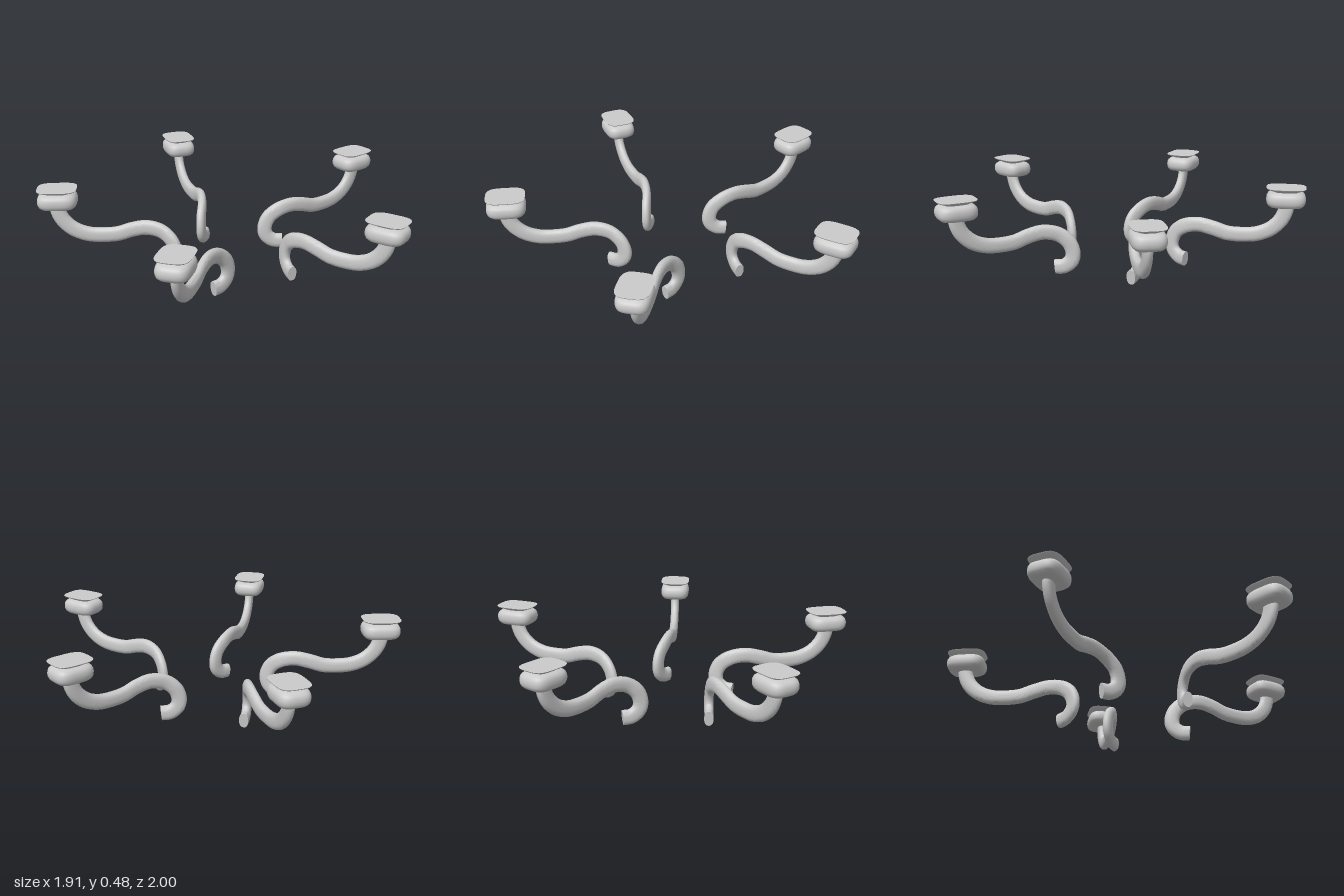
import * as THREE from 'three';
import { toCreasedNormals } from 'three/addons/utils/BufferGeometryUtils.js';

const V = (x, y, z) => new THREE.Vector3(x, y, z);

// Closed rounded outline with half sizes a, b; a higher power is squarer
function outline(a, b, power, count) {
  return Array.from({ length: count }, (_, i) => {
    const t = (i / count) * Math.PI * 2, c = Math.cos(t), s = Math.sin(t);
    const r = (Math.abs(c / a) ** power + Math.abs(s / b) ** power) ** (-1 / power);
    return [r * c, r * s];
  });
}

// Skin a list of rings and cap both ends
function loft(rings, crease) {
  const n = rings[0].length, last = (rings.length - 1) * n;
  const points = rings.flat(), index = [];
  for (let i = 0; i < rings.length - 1; i++) {
    for (let j = 0; j < n; j++) {
      const a = i * n + j, b = i * n + ((j + 1) % n);
      index.push(a, b, a + n, b, b + n, a + n);
    }
  }
  const middle = ring => ring.reduce((sum, p) => sum.add(p), V(0, 0, 0)).divideScalar(n);
  const start = points.push(middle(rings[0])) - 1;
  const end = points.push(middle(rings[rings.length - 1])) - 1;
  for (let j = 0; j < n; j++) {
    const k = (j + 1) % n;
    index.push(start, k, j, end, last + j, last + k);
  }
  const geometry = new THREE.BufferGeometry().setFromPoints(points);
  geometry.setIndex(index);
  return toCreasedNormals(geometry, crease);
}

// Flattened S-shaped arm, its hooked inner end twisting sideways
function armGeometry() {
  const path = new THREE.CatmullRomCurve3([
    V(0.30, 0.047, -0.013), V(0.26, 0.052, -0.042), V(0.226, 0.085, -0.064),
    V(0.218, 0.13, -0.069), V(0.238, 0.19, -0.06), V(0.29, 0.235, -0.035),
    V(0.37, 0.252, -0.014), V(0.45, 0.238, -0.003), V(0.53, 0.214, 0),
    V(0.61, 0.209, 0), V(0.69, 0.216, 0), V(0.765, 0.246, 0),
    V(0.82, 0.298, 0), V(0.846, 0.355, 0), V(0.85, 0.405, 0),
  ]);
  const section = outline(0.042, 0.025, 2.4, 24);
  const rings = [], steps = 90;
  for (let i = 0; i <= steps; i++) {
    const p = path.getPointAt(i / steps), t = path.getTangentAt(i / steps);
    const yaw = 0.58 * (1 - THREE.MathUtils.smoothstep(p.x, 0.27, 0.47));
    const side = V(-Math.sin(yaw), 0, Math.cos(yaw));
    side.addScaledVector(t, -side.dot(t)).normalize();
    const up = side.clone().cross(t);
    rings.push(section.map(([a, b]) => p.clone().addScaledVector(up, a).addScaledVector(side, b)));
  }
  return loft(rings, 0.8);
}

// Rounded-square solid from [scale, height] steps
function cupGeometry(profile) {
  const section = outline(0.087, 0.107, 3.6, 48);
  return loft(profile.map(([s, y]) => section.map(([z, x]) => V(x * s, y, z * s))), 0.75);
}

export function createModel() {
  const model = new THREE.Group();
  model.name = 'fiveArmFitting';
  const material = new THREE.MeshStandardMaterial({ color: 0xcccccc });

  // Bulging cushion below, thin flared plate above
  const cushion = cupGeometry([
    [0.68, 0.378], [0.82, 0.382], [0.93, 0.392], [0.985, 0.405], [1, 0.42],
    [0.985, 0.435], [0.93, 0.448], [0.82, 0.457], [0.6, 0.463],
  ]);
  const plate = cupGeometry([[0.56, 0.455], [0.6, 0.464], [0.78, 0.472], [0.97, 0.48], [1, 0.485]]);
  const arm = armGeometry();

  const centre = -0.088, reach = 0.933;
  for (let i = 0; i < 5; i++) {
    const branch = new THREE.Group();
    branch.name = `branch${i + 1}`;
    branch.position.x = centre;
    branch.rotation.y = (i / 5) * Math.PI * 2;
    const add = (name, geometry, x) => {
      const mesh = new THREE.Mesh(geometry, material);
      mesh.name = name;
      mesh.position.x = x;
      branch.add(mesh);
    };
    add('arm', arm, -centre);
    add('cushion', cushion, reach);
    add('topPlate', plate, reach);
    model.add(branch);
  }
  return model;
}
